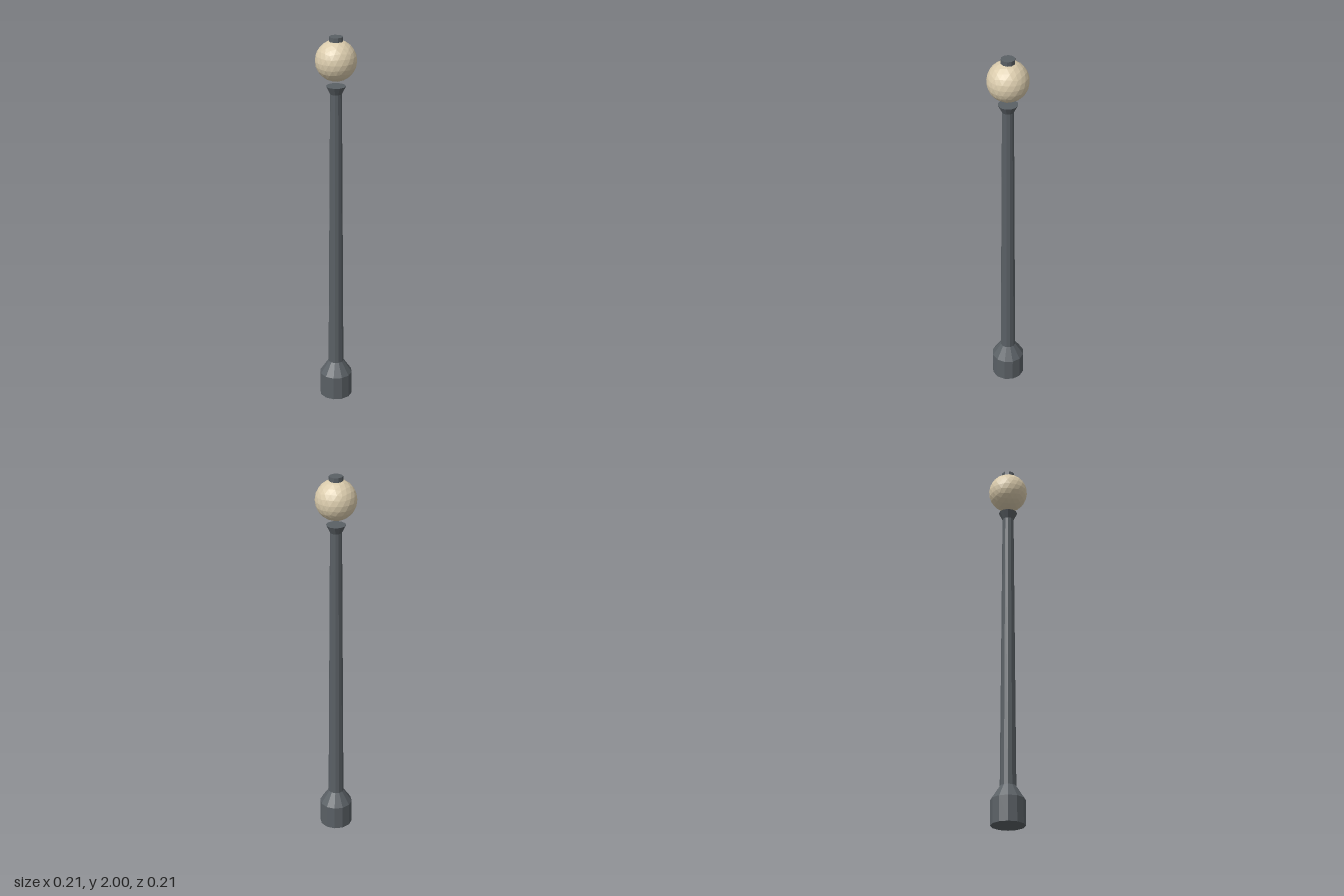
import * as THREE from 'three';

// Gives every triangle its own face normal for a low-poly look
function faceted(geometry) {
  const g = geometry.index ? geometry.toNonIndexed() : geometry;
  g.computeVertexNormals();
  return g;
}

export function createModel() {
  const group = new THREE.Group();
  const metal = new THREE.MeshStandardMaterial({ color: 0x5a6065 });
  metal.name = 'dark grey metal';
  const glass = new THREE.MeshStandardMaterial({ color: 0xdacbac });
  glass.name = 'cream glass';

  const add = (name, geometry, material, y = 0) => {
    const mesh = new THREE.Mesh(faceted(geometry), material);
    mesh.name = name;
    mesh.position.y = y;
    group.add(mesh);
    return mesh;
  };

  // Base, tapering shaft and flared collar turned from one closed profile
  const profile = [
    [0, 0], [0.087, 0], [0.087, 0.13], [0.041, 0.2],
    [0.03, 1.71], [0.05, 1.75], [0, 1.75],
  ].map(([r, y]) => new THREE.Vector2(r, y));
  add('post', new THREE.LatheGeometry(profile, 12), metal);

  // Lamp globe, turned so that one corner of the icosahedron points up
  const globe = new THREE.IcosahedronGeometry(0.104, 3);
  globe.rotateZ(Math.atan(2 / (1 + Math.sqrt(5))));
  globe.rotateY(Math.PI);
  add('globe', globe, glass, 1.88);

  // Small cap on the globe
  const cap = new THREE.CylinderGeometry(0.035, 0.035, 0.035, 10);
  cap.rotateY(Math.PI / 2);
  add('cap', cap, metal, 1.9825);

  return group;
}
